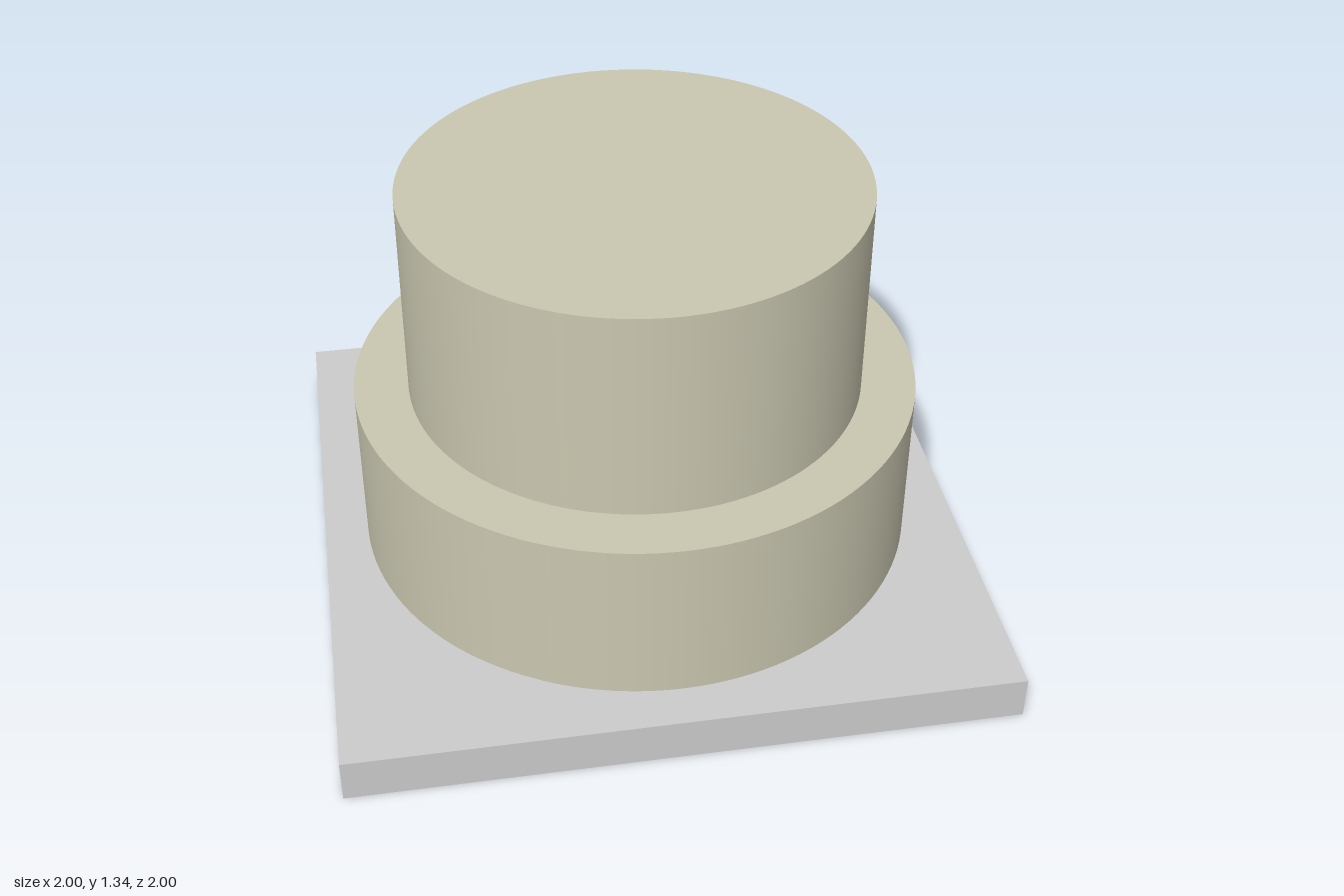
import * as THREE from 'three';

const BOARD_TOP = 0.137;

export function createModel() {
  const group = new THREE.Group();
  const grey = new THREE.MeshStandardMaterial({ color: 0xcccccc });
  const cream = new THREE.MeshStandardMaterial({ color: 0xcac7b0 });

  const add = (name, geometry, material, x, y, z) => {
    const mesh = new THREE.Mesh(geometry, material);
    mesh.name = name;
    mesh.position.set(x, y, z);
    group.add(mesh);
  };

  // Square cake board
  add('board', new THREE.BoxGeometry(2, BOARD_TOP, 2), grey, 0, BOARD_TOP / 2, 0);

  // Blank label panel lying on the front right corner of the board
  const label = new THREE.PlaneGeometry(0.475, 0.24).rotateX(-Math.PI / 2);
  add('labelPanel', label, grey, -0.6425, BOARD_TOP + 0.001, 0.755);

  // Two stacked round tiers
  const tiers = [
    { name: 'lowerTier', radius: 0.865, bottom: BOARD_TOP, top: 0.668 },
    { name: 'upperTier', radius: 0.699, bottom: 0.668, top: 1.336 },
  ];
  for (const { name, radius, bottom, top } of tiers) {
    const geometry = new THREE.CylinderGeometry(radius, radius, top - bottom, 128);
    add(name, geometry, cream, 0, (bottom + top) / 2, 0);
  }

  return group;
}
